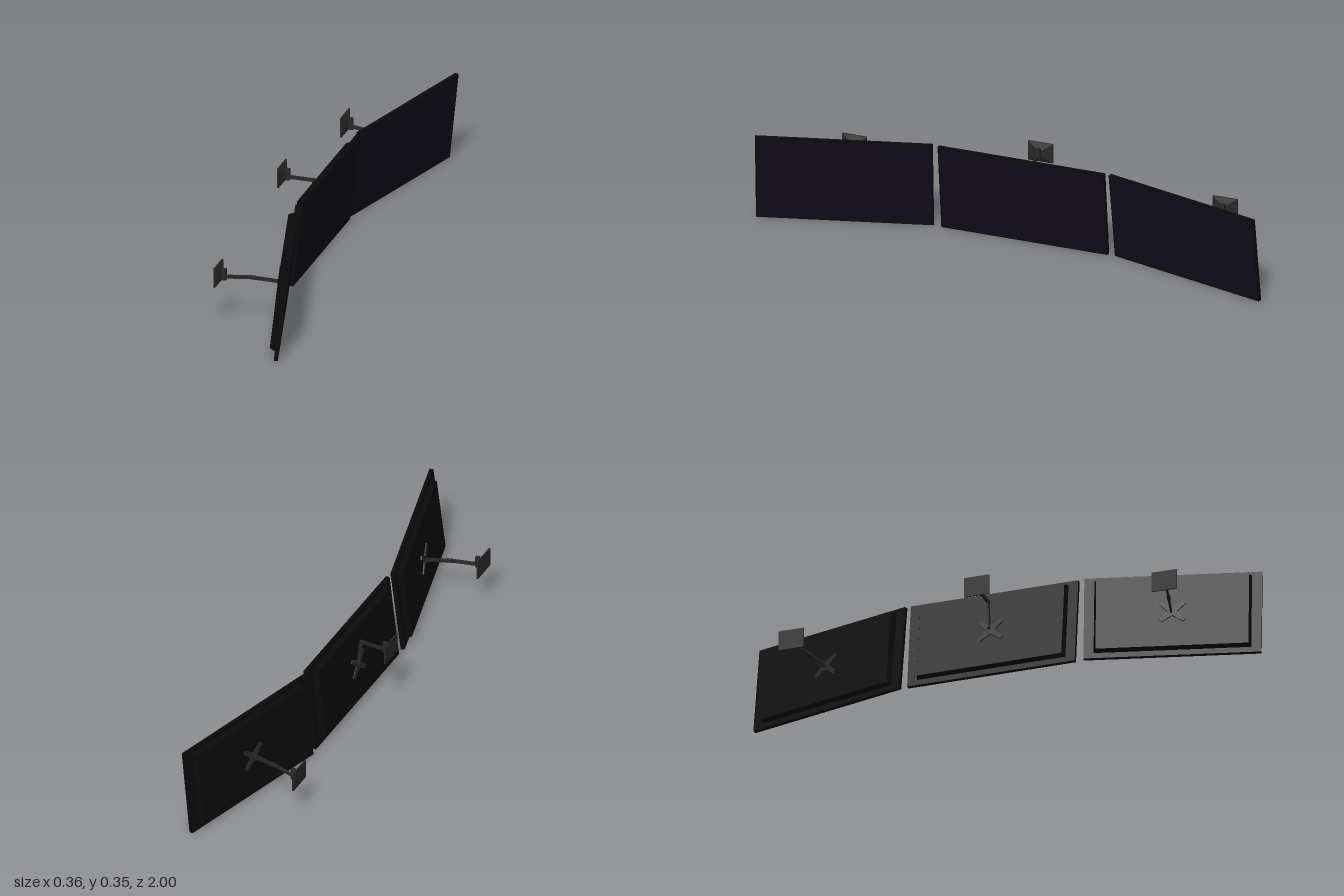
import * as THREE from 'three';

const black = new THREE.MeshStandardMaterial({ color: 0x0a0a0a });
const glass = new THREE.MeshStandardMaterial({ color: 0x0f0c19 });
const metal = new THREE.MeshStandardMaterial({ color: 0x282828 });

const W = 0.66, H = 0.3455, T = 0.015; // panel width, height, thickness
const DEPTH = 0.021; // rear housing depth
const YAW = THREE.MathUtils.degToRad(15), TILT = THREE.MathUtils.degToRad(6.5);

function add(parent, name, geometry, material, x = 0, y = 0, z = 0) {
  const mesh = new THREE.Mesh(geometry, material);
  mesh.name = name;
  mesh.position.set(x, y, z);
  parent.add(mesh);
  return mesh;
}

// Box whose -x or +x end (side = -1 / 1) is scaled down
function taperedBox(d, h, w, side, sy, sz) {
  const g = new THREE.BoxGeometry(d, h, w);
  const p = g.attributes.position;
  for (let i = 0; i < p.count; i++) {
    if (p.getX(i) * side > 0) p.setXYZ(i, p.getX(i), p.getY(i) * sy, p.getZ(i) * sz);
  }
  g.computeVertexNormals();
  return g;
}

// Flat bar between two points
function bar(parent, name, a, b, height = 0.013, width = 0.007) {
  const from = new THREE.Vector3(...a), to = new THREE.Vector3(...b);
  const mesh = add(parent, name, new THREE.BoxGeometry(width, height, from.distanceTo(to)), metal);
  mesh.position.lerpVectors(from, to, 0.5);
  mesh.lookAt(to);
}

// Four-armed mounting bracket, facing -x
function bracketGeometry() {
  const s = new THREE.Shape();
  const quarter = [[0.017, 0], [0.05, 0.033], [0.041, 0.044], [0, 0.017]];
  const pts = [];
  for (const [sx, sy] of [[1, 1], [-1, 1], [-1, -1], [1, -1]]) {
    const q = quarter.map(([x, y]) => [x * sx, y * sy]);
    if (sx * sy < 0) q.reverse();
    pts.push(...q.slice(0, 3));
  }
  s.setFromPoints(pts.map(([x, y]) => new THREE.Vector2(x, y)));
  const g = new THREE.ExtrudeGeometry(s, { depth: 0.006, bevelEnabled: false });
  return g.rotateY(-Math.PI / 2);
}

// Screen panel, tapered rear housing and bracket
function createMonitor(name, x, y, z, yaw) {
  const g = new THREE.Group();
  g.name = name;
  add(g, 'panelFrame', new THREE.BoxGeometry(T, H, W), black);
  add(g, 'screen', new THREE.BoxGeometry(0.001, H - 0.01, W - 0.01), glass, T / 2);
  const housing = taperedBox(DEPTH, 0.308, 0.585, -1, 0.96, 0.97);
  add(g, 'rearHousing', housing, black, -(T + DEPTH) / 2, 0.003);
  add(g, 'bracket', bracketGeometry(), metal, -T / 2 - DEPTH + 0.001, 0.001);
  g.position.set(x, y, z);
  g.rotation.set(0, yaw, -TILT, 'YZX');
  return g;
}

// Wall plate, block and an arm running through the listed points
function createArm(name, plateY, plateZ, points) {
  const g = new THREE.Group();
  g.name = name;
  add(g, 'wallPlate', new THREE.BoxGeometry(0.006, 0.077, 0.098), metal, -0.179, plateY, plateZ);
  add(g, 'plateTaper', taperedBox(0.012, 0.077, 0.098, 1, 0.3, 0.15), metal, -0.17, plateY, plateZ);
  add(g, 'mountBlock', new THREE.BoxGeometry(0.016, 0.045, 0.014), metal, -0.156, plateY, plateZ);
  for (let i = 1; i < points.length; i++) {
    bar(g, 'armSegment', points[i - 1], points[i]);
    if (i < points.length - 1) {
      const pin = new THREE.CylinderGeometry(0.0075, 0.0075, 0.01, 16).rotateX(Math.PI / 2);
      add(g, 'joint', pin, metal, ...points[i]);
    }
  }
  return g;
}

export function createModel() {
  const model = new THREE.Group();
  model.name = 'tripleWallMonitors';

  // Middle screen on a raised arm
  model.add(createMonitor('middleMonitor', -0.012, 0.1735, -0.003, 0));
  model.add(createArm('middleArm', 0.298, -0.007, [
    [-0.15, 0.288, -0.007], [-0.056, 0.288, -0.007],
    [-0.046, 0.188, -0.007], [-0.036, 0.18, -0.007],
  ]));

  // Mirrored outer screens, angled inwards
  for (const side of [1, -1]) {
    const label = side > 0 ? 'front' : 'rear';
    const z = (x) => side * (0.682 + (0.037 - x) * Math.tan(YAW)) - 0.003;
    model.add(createMonitor(label + 'Monitor', 0.068, 0.1725, side * 0.675, side * YAW));
    const path = [[-0.15, 0.19], [-0.06, 0.19], [-0.047, 0.188], [0.036, 0.177]];
    model.add(createArm(label + 'Arm', 0.2, z(-0.16), path.map(([x, y]) => [x, y, z(x)])));
  }
  return model;
}
